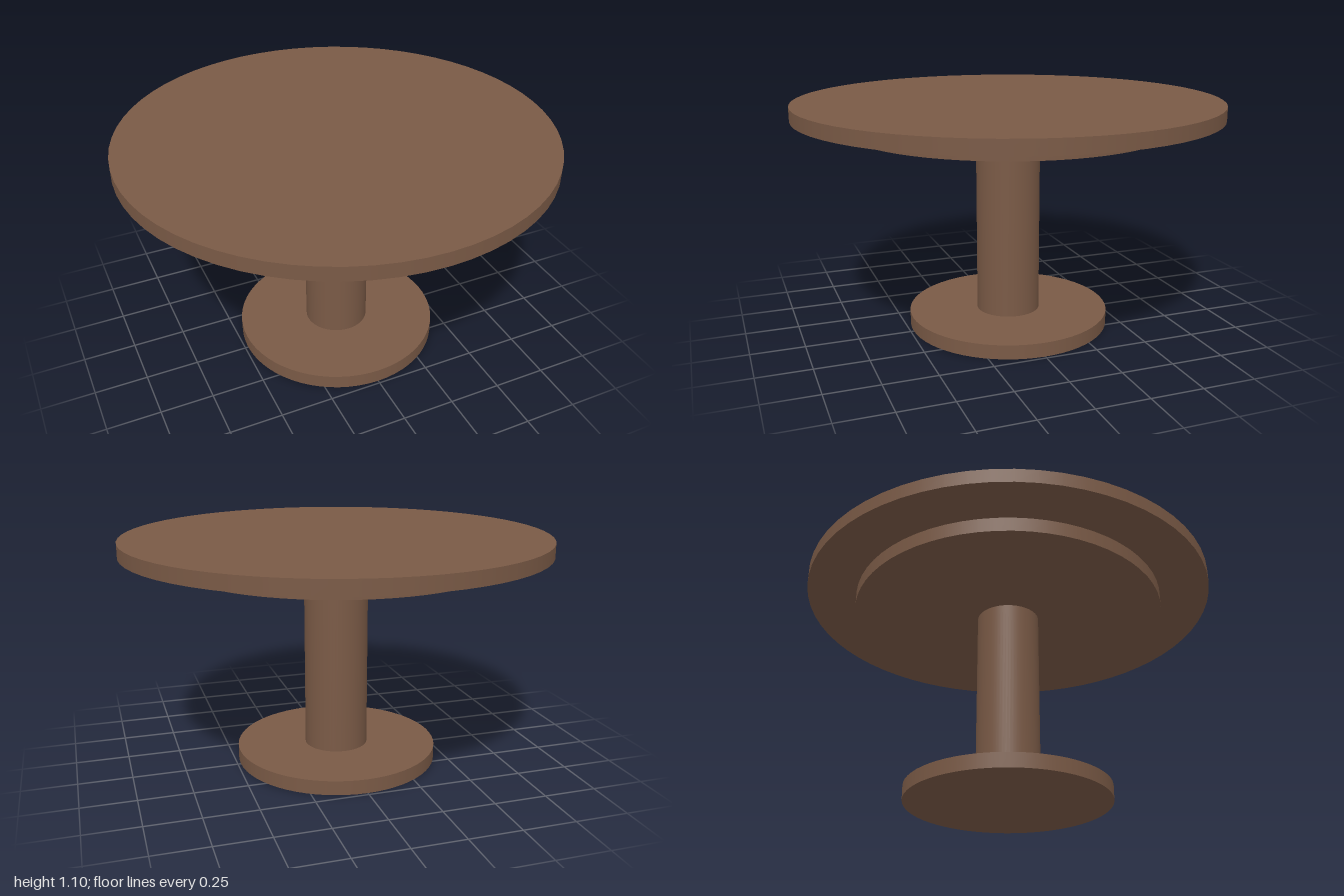
import * as THREE from 'three';

export function createModel() {
  const model = new THREE.Group();
  model.name = 'roundPedestalTable';

  const wood = new THREE.MeshStandardMaterial({ color: 0x7a5a46 });
  wood.name = 'brown wood';

  // Upright disc or column between two heights
  const addRound = (name, radius, bottom, top) => {
    const geometry = new THREE.CylinderGeometry(radius, radius, top - bottom, 64);
    const mesh = new THREE.Mesh(geometry, wood);
    mesh.name = name;
    mesh.position.y = (bottom + top) / 2;
    model.add(mesh);
  };

  addRound('base', 0.485, 0, 0.068);
  addRound('column', 0.152, 0.068, 0.966);
  addRound('apron', 0.763, 0.966, 1.034);
  addRound('tableTop', 1, 1.034, 1.1);

  return model;
}
